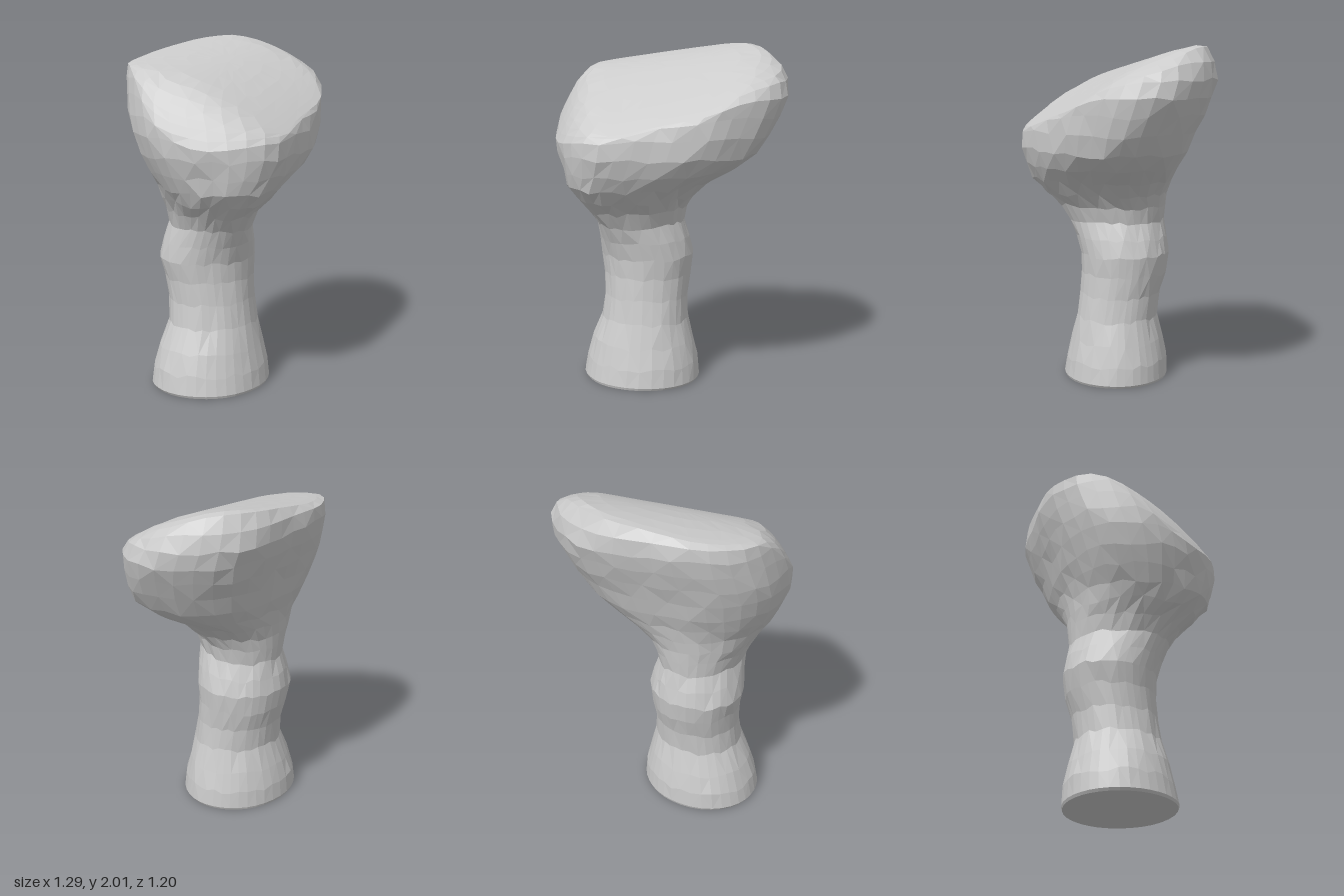
import * as THREE from 'three';

// Horizontal cross-sections: [y, xMin, xMax, zMin, zMax, blend to head outline]
const SECTIONS = [
  [0, -0.53, 0.18, -0.285, 0.35, 0.15],
  [0.015, -0.54, 0.19, -0.29, 0.355, 0.15],
  [0.12, -0.525, 0.18, -0.285, 0.335, 0.12],
  [0.24, -0.485, 0.15, -0.26, 0.305, 0.08],
  [0.38, -0.425, 0.115, -0.225, 0.265, 0],
  [0.52, -0.415, 0.1, -0.24, 0.245, 0],
  [0.65, -0.43, 0.1, -0.275, 0.235, 0],
  [0.77, -0.455, 0.11, -0.295, 0.24, 0],
  [0.87, -0.435, 0.09, -0.28, 0.27, 0],
  [0.97, -0.41, 0.06, -0.262, 0.315, 0.05],
  [1.06, -0.435, 0.085, -0.275, 0.38, 0.15],
  [1.14, -0.475, 0.15, -0.29, 0.475, 0.3],
  [1.22, -0.51, 0.25, -0.325, 0.55, 0.5],
  [1.31, -0.56, 0.41, -0.375, 0.575, 0.7],
  [1.41, -0.605, 0.53, -0.435, 0.6, 0.85],
  [1.52, -0.635, 0.585, -0.48, 0.595, 0.95],
  [1.63, -0.64, 0.62, -0.53, 0.575, 1],
  [1.73, -0.637, 0.64, -0.575, 0.55, 1],
  [1.83, -0.625, 0.615, -0.6, 0.52, 1],
  [1.92, -0.605, 0.575, -0.585, 0.48, 1],
  [2.02, -0.57, 0.52, -0.54, 0.45, 1],
];
const SIDES = 36;

// Plan outline of the head as [x, z], resampled to unit half-widths
const OUTLINE = new THREE.CatmullRomCurve3(
  [
    [0.625, -0.12], [0.55, 0.05], [0.45, 0.2], [0.25, 0.37], [0.05, 0.54],
    [-0.05, 0.59], [-0.15, 0.595], [-0.26, 0.56], [-0.37, 0.5], [-0.55, 0.33],
    [-0.61, 0.22], [-0.635, 0.05], [-0.63, -0.1], [-0.55, -0.25], [-0.4, -0.38],
    [-0.1, -0.52], [0.15, -0.6], [0.35, -0.57], [0.5, -0.48], [0.6, -0.36],
    [0.635, -0.25],
  ].map(([x, z]) => new THREE.Vector3(x / 0.637, 0, z / 0.6)),
  true
).getSpacedPoints(SIDES);

const softMin = (a, b, k = 0.02) => {
  const m = Math.min(a, b);
  return m - k * Math.log(Math.exp((m - a) / k) + Math.exp((m - b) / k));
};

// Upper face: arched across its width, rising along its length,
// and falling away at the right rear end and the left front corner
function topHeight(x, z) {
  const across = 0.55 * x + 0.83 * z;
  const along = 0.83 * x - 0.55 * z;
  const corner = Math.max(0, 0.64 * z - 0.77 * x - 0.4);
  return 1.865 - 0.42 * across - 0.5 * across ** 2 + 0.15 * along
    - 1.4 * Math.max(0, along - 0.42) ** 2 - 4 * corner ** 2;
}

function seeded(seed) {
  return () => {
    seed = (seed * 16807) % 2147483647;
    return seed / 2147483647 - 0.5;
  };
}

export function createModel() {
  const noise = seeded(421);
  const positions = [];
  const index = [];

  // One ring between an oval and the head outline, trimmed by the upper face
  function addRing([y, x0, x1, z0, z1, blend], scale, jitter) {
    for (let j = 0; j < SIDES; j++) {
      const o = OUTLINE[j];
      const a = Math.atan2(o.z, o.x);
      const r = scale * (1 + noise() * jitter);
      const u = THREE.MathUtils.lerp(Math.cos(a), o.x, blend) * r;
      const v = THREE.MathUtils.lerp(Math.sin(a), o.z, blend) * r;
      const x = (x0 + x1) / 2 + ((x1 - x0) / 2) * u;
      const z = (z0 + z1) / 2 + ((z1 - z0) / 2) * v;
      const dy = y > 0.05 && y < 1.9 ? noise() * 0.025 : 0;
      positions.push(x, softMin(y + dy, topHeight(x, z)), z);
    }
  }

  // Shaft and flared head
  SECTIONS.forEach((s) => addRing(s, 1, s[0] > 0.05 ? 0.02 : 0));

  // Upper face closes inwards
  const last = SECTIONS[SECTIONS.length - 1];
  const lid = [3, ...last.slice(1)];
  [0.9, 0.7, 0.45, 0.2].forEach((s) => addRing(lid, s, 0.04));

  const rings = positions.length / 3 / SIDES;
  for (let i = 0; i < rings - 1; i++) {
    for (let j = 0; j < SIDES; j++) {
      const k = (j + 1) % SIDES;
      const p = i * SIDES + j, q = i * SIDES + k;
      const up = p + SIDES, upQ = q + SIDES;
      if ((i + j) % 2) index.push(p, up, q, q, up, upQ);
      else index.push(p, up, upQ, p, upQ, q);
    }
  }

  // Flat foot and centre of the upper face
  const foot = positions.length / 3;
  positions.push(-0.17, 0, 0.03);
  const cx = (last[1] + last[2]) / 2, cz = (last[3] + last[4]) / 2;
  positions.push(cx, topHeight(cx, cz), cz);
  const rim = (rings - 1) * SIDES;
  for (let j = 0; j < SIDES; j++) {
    const k = (j + 1) % SIDES;
    index.push(foot, j, k, foot + 1, rim + k, rim + j);
  }

  const indexed = new THREE.BufferGeometry();
  indexed.setAttribute('position', new THREE.Float32BufferAttribute(positions, 3));
  indexed.setIndex(index);
  const geometry = indexed.toNonIndexed();
  geometry.computeVertexNormals();

  const body = new THREE.Mesh(
    geometry,
    new THREE.MeshStandardMaterial({ color: 0xcccccc, flatShading: true })
  );
  body.name = 'shaftWithFlaredHead';

  const group = new THREE.Group();
  group.name = 'stalkedForm';
  group.add(body);
  return group;
}
